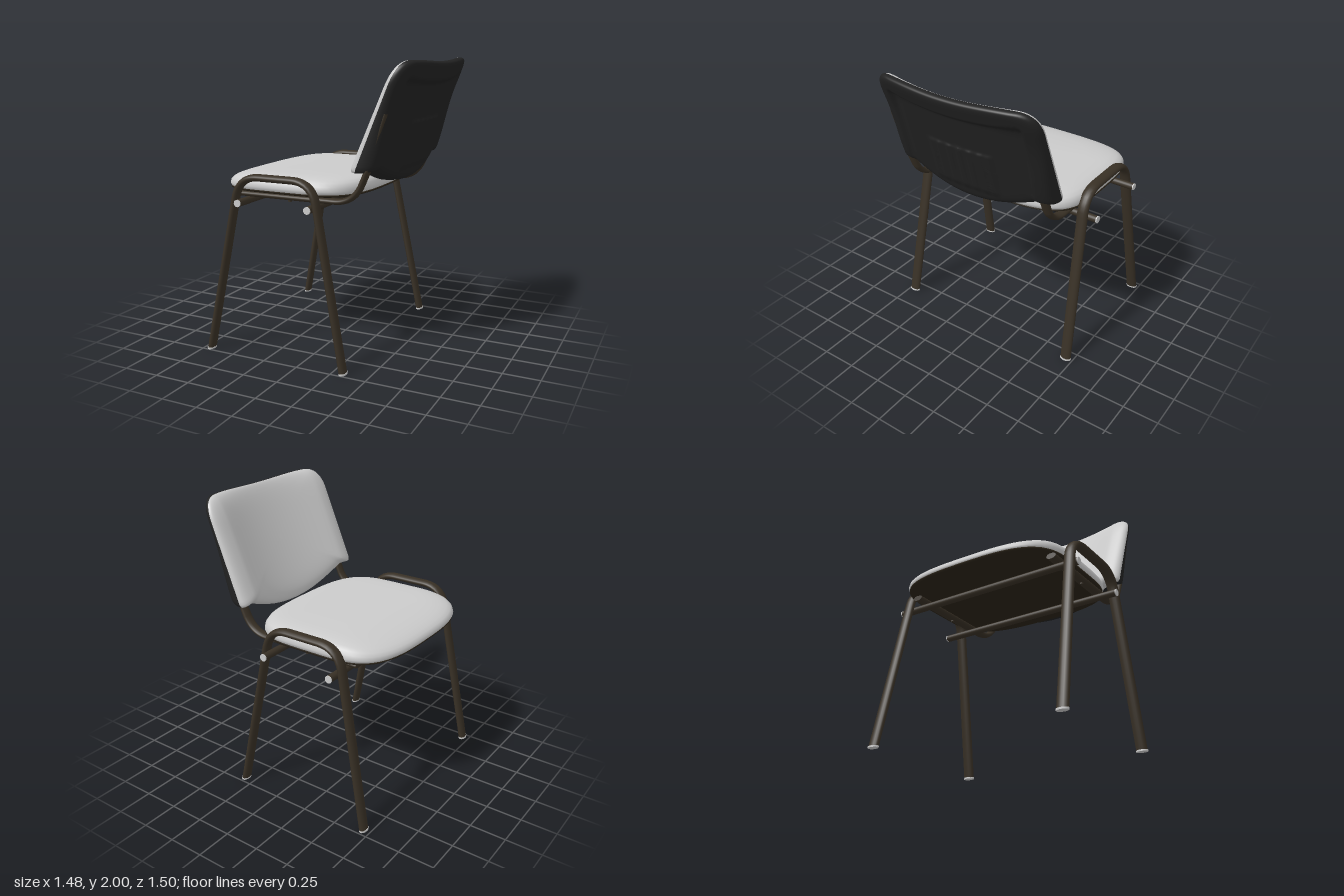
import * as THREE from 'three';

const mat = (color) => new THREE.MeshStandardMaterial({ color, side: THREE.DoubleSide });
const grey = mat(0xcccccc);
const frameMat = mat(0x383025);
const shellMat = mat(0x222222);
const baseMat = mat(0x2a2318);

const { smoothstep } = THREE.MathUtils;

function addMesh(group, name, geometry, material) {
  const mesh = new THREE.Mesh(geometry, material);
  mesh.name = name;
  group.add(mesh);
  return mesh;
}

// Skin over closed rings of points, outermost ring first
function loft(rings, flip = false) {
  const n = rings[0].length, pos = [], idx = [];
  for (const ring of rings) for (const p of ring) pos.push(...p);
  for (let i = 0; i < rings.length - 1; i++) {
    for (let j = 0; j < n; j++) {
      const a = i * n + j, b = i * n + (j + 1) % n, c = a + n, d = b + n;
      if (flip) idx.push(a, c, b, b, c, d);
      else idx.push(a, b, c, b, d, c);
    }
  }
  const g = new THREE.BufferGeometry();
  g.setAttribute('position', new THREE.Float32BufferAttribute(pos, 3));
  g.setIndex(idx);
  g.computeVertexNormals();
  return g;
}

// Polyline in the xy plane with rounded corners
function bentPath(points, r) {
  const pts = points.map(([x, y]) => new THREE.Vector3(x, y, 0));
  const path = new THREE.CurvePath();
  let from = pts[0];
  for (let i = 1; i < pts.length - 1; i++) {
    const toward = (q) => pts[i].clone().add(q.clone().sub(pts[i]).setLength(r));
    const a = toward(pts[i - 1]), b = toward(pts[i + 1]);
    path.add(new THREE.LineCurve3(from, a));
    path.add(new THREE.QuadraticBezierCurve3(a, pts[i], b));
    from = b;
  }
  path.add(new THREE.LineCurve3(from, pts[pts.length - 1]));
  return path;
}

// Oval tube, wider along z, placed at a z that may vary with height
function ovalTube(path, rx, rz, zAt) {
  const g = new THREE.TubeGeometry(path, 90, rx, 16).scale(1, 1, rz / rx);
  const p = g.attributes.position;
  for (let i = 0; i < p.count; i++) {
    const y = Math.max(0, p.getY(i));
    p.setXYZ(i, p.getX(i), y, p.getZ(i) + zAt(y));
  }
  return g;
}

// Seat ring: barrel-sided rounded rectangle at scale s
function seatRing(s, yAt) {
  const ring = [];
  for (let j = 0; j < 96; j++) {
    const t = -j / 96 * Math.PI * 2, c = Math.cos(t), w = Math.sin(t);
    let lo = 0, hi = 1.5;
    for (let k = 0; k < 24; k++) {
      const m = (lo + hi) / 2;
      if (Math.abs(c * m) ** 4.5 + Math.abs(w * m) ** 3 < 1) lo = m; else hi = m;
    }
    const x = -0.205 + c * lo * s * 0.53;
    ring.push([x, yAt(x), -0.015 + w * lo * s * 0.625]);
  }
  return ring;
}

function buildSeat(group) {
  // Cushion, dropping towards its front edge
  const profile = [[0.97, 1.128], [0.99, 1.14], [1, 1.16], [0.99, 1.19], [0.965, 1.212], [0.92, 1.228],
    [0.85, 1.238], [0.75, 1.243], [0.6, 1.245], [0.3, 1.246], [0, 1.246]];
  const cushion = profile.map(([s, y]) => seatRing(s, (x) => {
    const d = Math.max(0, -0.35 - x) / 0.38;
    return 1.128 + (y - 1.128) * (1 - 0.4 * d * d);
  }));
  addMesh(group, 'seatCushion', loft(cushion), grey);
  // Thin board below
  const board = [[0.95, 1.136], [0.99, 1.136], [0.99, 1.126], [0.97, 1.12], [0.9, 1.116], [0, 1.114]];
  addMesh(group, 'seatBoard', loft(board.map(([s, y]) => seatRing(s, () => y)), true), baseMat);
}

// Backrest outline in (z, y): one half drawn, the other mirrored
function backOutline() {
  const half = new THREE.Path();
  half.moveTo(0, 1.18);
  half.bezierCurveTo(-0.2, 1.18, -0.35, 1.23, -0.52, 1.3);
  half.lineTo(-0.605, 1.3);
  half.quadraticCurveTo(-0.622, 1.3, -0.622, 1.33);
  half.lineTo(-0.618, 1.86);
  half.quadraticCurveTo(-0.61, 2.0, -0.48, 2.0);
  half.bezierCurveTo(-0.3, 2.0, -0.2, 1.985, 0, 1.985);
  const pts = half.getSpacedPoints(90);
  const mirrored = pts.slice(1, -1).reverse().map((p) => new THREE.Vector2(-p.x, p.y));
  return [...pts, ...mirrored];
}

// Rings over the backrest; depth(y, z, s) is the offset from its curved middle surface
function backRings(outline, count, depth) {
  const rings = [];
  for (let k = 0; k <= count; k++) {
    const s = Math.cos(k / count * Math.PI / 2);
    rings.push(outline.map((p) => {
      const z = p.x * s, y = 1.6 + (p.y - 1.6) * s;
      const middle = 0.475 + 0.4 * (y - 1.6) + 0.075 * (1 - (z / 0.6) ** 2);
      return [middle + depth(y, z, s), y, z - 0.015];
    }));
  }
  return rings;
}

function buildBackrest(group) {
  const outline = backOutline();
  // Padded front, thicker at the sides and the bottom
  const cushion = backRings(outline, 30, (y, z, s) => {
    const thick = 0.045 + 0.045 * Math.min(1, (z / 0.5) ** 2) - 0.04 * (y - 1.45);
    return -thick * Math.sqrt(Math.max(0, 1 - s ** 7));
  });
  addMesh(group, 'backCushion', loft(cushion, true), grey);
  // Rear shell: raised rim, recessed panel, ribbed pad
  const shell = backRings(outline, 56, (y, z, s) => {
    const az = Math.abs(z);
    const rimY = 1.83 + 0.14 * z * z;
    const inPanel = (1 - smoothstep(az, 0.48, 0.52)) * (1 - smoothstep(y, rimY, rimY + 0.035));
    const inPad = (1 - smoothstep(az, 0.23, 0.26)) * (1 - smoothstep(y, 1.59, 1.62)) * smoothstep(y, 1.26, 1.32);
    const ribs = az < 0.2 ? Math.cos(z / 0.08 * Math.PI * 2) * 0.004 : 0;
    const rim = 0.055 + 0.05 * smoothstep(1.9 - y, 0.1, 0.6);
    const panel = 0.02 + 0.14 * Math.max(0, 1.82 - y) + inPad * (0.01 + ribs);
    return (rim + (panel - rim) * inPanel) * Math.sqrt(Math.max(0, 1 - s ** 24));
  });
  addMesh(group, 'backShell', loft(shell), shellMat);
}

function buildFrame(group) {
  const legPath = bentPath([[-0.7, 0], [-0.465, 1.233], [0.085, 1.233], [0.325, 0]], 0.15);
  const railPath = bentPath([[-0.54, 1.1], [0.325, 1.1], [0.425, 1.31], [0.545, 1.68]], 0.13);
  for (const side of [1, -1]) {
    // Front and rear leg in one bent tube, splayed outwards
    const legZ = (y) => 0.006 + side * (0.703 - 0.048 * y / 1.23);
    addMesh(group, 'legLoop', ovalTube(legPath, 0.024, 0.04, legZ), frameMat);
    for (const x of [-0.7, 0.325]) {
      const foot = addMesh(group, 'footCap', new THREE.CylinderGeometry(0.026, 0.026, 0.012, 20), grey);
      foot.scale.z = 1.6;
      foot.position.set(x, 0.006, legZ(0));
    }
    // Rail under the seat that rises to carry the backrest
    const railZ = 0.006 + side * 0.55;
    addMesh(group, 'backSupport', ovalTube(railPath, 0.02, 0.036, () => railZ), frameMat);
    const end = addMesh(group, 'railEnd', new THREE.CircleGeometry(0.02, 16), frameMat);
    end.rotation.y = -Math.PI / 2;
    end.scale.x = 1.8;
    end.position.set(-0.54, 1.1, railZ);
    const bolt = addMesh(group, 'bolt', new THREE.CylinderGeometry(0.012, 0.012, 0.05, 12), frameMat);
    bolt.position.set(-0.14, 1.095, railZ);
  }
  // Cross bars with end caps
  for (const x of [-0.455, 0.07]) {
    const bar = addMesh(group, 'crossBar', new THREE.CylinderGeometry(0.025, 0.025, 1.45, 20), frameMat);
    bar.rotation.x = Math.PI / 2;
    bar.position.set(x, 1.057, -0.018);
    for (const z of [-0.746, 0.71]) {
      const cap = addMesh(group, 'barCap', new THREE.CylinderGeometry(0.025, 0.025, 0.008, 20), grey);
      cap.rotation.x = Math.PI / 2;
      cap.position.set(x, 1.057, z);
    }
  }
}

export function createModel() {
  const chair = new THREE.Group();
  chair.name = 'chair';
  for (const [name, build] of [['seat', buildSeat], ['backrest', buildBackrest], ['frame', buildFrame]]) {
    const part = new THREE.Group();
    part.name = name;
    build(part);
    chair.add(part);
  }
  return chair;
}
